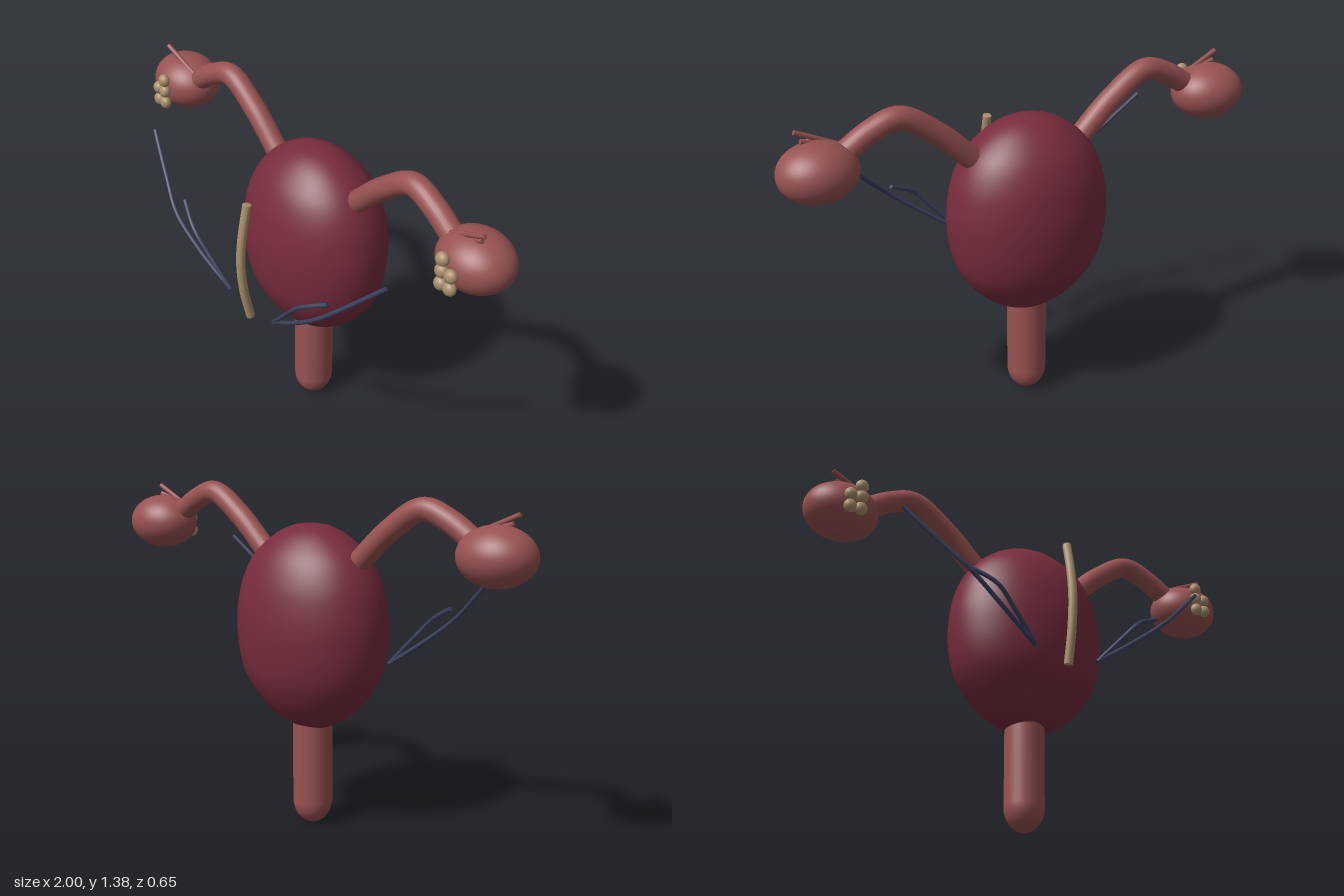
import * as THREE from 'three';

const material = (name, color) => {
  const m = new THREE.MeshStandardMaterial({ color });
  m.name = name;
  return m;
};

export function createModel() {
  const model = new THREE.Group();
  model.name = 'uterusModel';
  const maroon = material('deep maroon', 0x782c3d);
  const pink = material('tissue pink', 0x985252);
  const beige = material('beige', 0xa98f6b);
  const navy = material('slate blue', 0x3b425c);
  const V = (p) => new THREE.Vector3(...p);

  const add = (parent, name, geometry, mat, pos = [0, 0, 0], scale = [1, 1, 1]) => {
    const mesh = new THREE.Mesh(geometry, mat);
    mesh.name = name;
    mesh.position.set(...pos);
    mesh.scale.set(...scale);
    parent.add(mesh);
    return mesh;
  };

  // Smooth tube through points, closed by a dome at each end
  const ball = new THREE.SphereGeometry(1, 40, 28);
  const bead = new THREE.SphereGeometry(1, 16, 12);
  const cord = (parent, name, points, radius, mat, dome = 0.3, sides = 12) => {
    const curve = new THREE.CatmullRomCurve3(points.map(V));
    const group = new THREE.Group();
    group.name = name;
    parent.add(group);
    add(group, name + 'Tube', new THREE.TubeGeometry(curve, 40, radius, sides), mat);
    for (const t of [0, 1]) {
      const cap = add(group, name + 'End', bead, mat, curve.getPoint(t).toArray(),
        [radius, radius, radius * dome]);
      cap.quaternion.setFromUnitVectors(new THREE.Vector3(0, 0, 1), curve.getTangent(t));
    }
  };

  // Egg-shaped body, flattened front to back
  const profile = new THREE.SplineCurve([
    [0, 0.41], [0.09, 0.425], [0.2, 0.495], [0.285, 0.6], [0.322, 0.7], [0.335, 0.82],
    [0.328, 0.92], [0.303, 1.02], [0.25, 1.115], [0.165, 1.19], [0.08, 1.23], [0, 1.24],
  ].map((p) => new THREE.Vector2(...p))).getPoints(60);
  profile.forEach((p) => { p.x = Math.max(p.x, 0); });
  add(model, 'body', new THREE.LatheGeometry(profile, 64), maroon, [0, 0, -0.077], [1, 1, 0.757]);

  // Neck with a rounded lower end
  add(model, 'neck', new THREE.CylinderGeometry(0.081, 0.081, 0.4, 32, 1, true), pink, [0, 0.3, -0.075]);
  add(model, 'neckTip', ball, pink, [0, 0.1, -0.075], [0.081, 0.1, 0.081]);

  // Curved strip in front
  cord(model, 'frontStrip', [[0, 0.585, 0.26], [0, 0.72, 0.288], [0, 0.86, 0.299],
    [0, 0.98, 0.288], [0, 1.117, 0.26]], 0.018, beige, 0.1);

  // Paired parts: +1 is the model's left
  for (const s of [1, -1]) {
    const side = new THREE.Group();
    side.name = s > 0 ? 'leftSide' : 'rightSide';
    model.add(side);
    const at = ([x, y, z]) => [s * x, y, z];

    cord(side, 'oviduct', [[0.245, 1.115, -0.08], [0.38, 1.24, -0.08], [0.53, 1.33, -0.078],
      [0.64, 1.295, -0.072], [0.735, 1.235, -0.067]].map(at), 0.045, pink, 0.6, 24);

    add(side, 'ovary', ball, pink, at([0.846, 1.185, -0.077]), [0.153, 0.113, 0.131]);

    // Fringe fingers spreading from the end of the oviduct
    for (const tip of [[0.908, 1.333, -0.033], [0.89, 1.3, -0.045], [0.87, 1.275, -0.03]]) {
      cord(side, 'fringe', [[0.735, 1.255, -0.045], tip].map(at), 0.01, pink, 0.1, 8);
    }

    // Cluster of small follicles
    for (const [x, y] of [[0.817, 1.134], [0.86, 1.134], [0.817, 1.187], [0.86, 1.187], [0.817, 1.236]]) {
      add(side, 'follicle', bead, beige, at([x, y, 0.062]), [0.027, 0.027, 0.022]);
    }

    // Branching vessels
    cord(side, 'longVessel', [[0.14, 0.632, 0.253], [0.3, 0.745, 0.28], [0.445, 0.86, 0.287],
      [0.56, 0.968, 0.25], [0.697, 1.105, 0.2]].map(at), 0.009, navy, 0.1, 8);
    cord(side, 'shortVessel', [[0.14, 0.632, 0.253], [0.25, 0.755, 0.275], [0.33, 0.838, 0.283],
      [0.445, 0.903, 0.243]].map(at), 0.009, navy, 0.1, 8);
  }
  return model;
}
